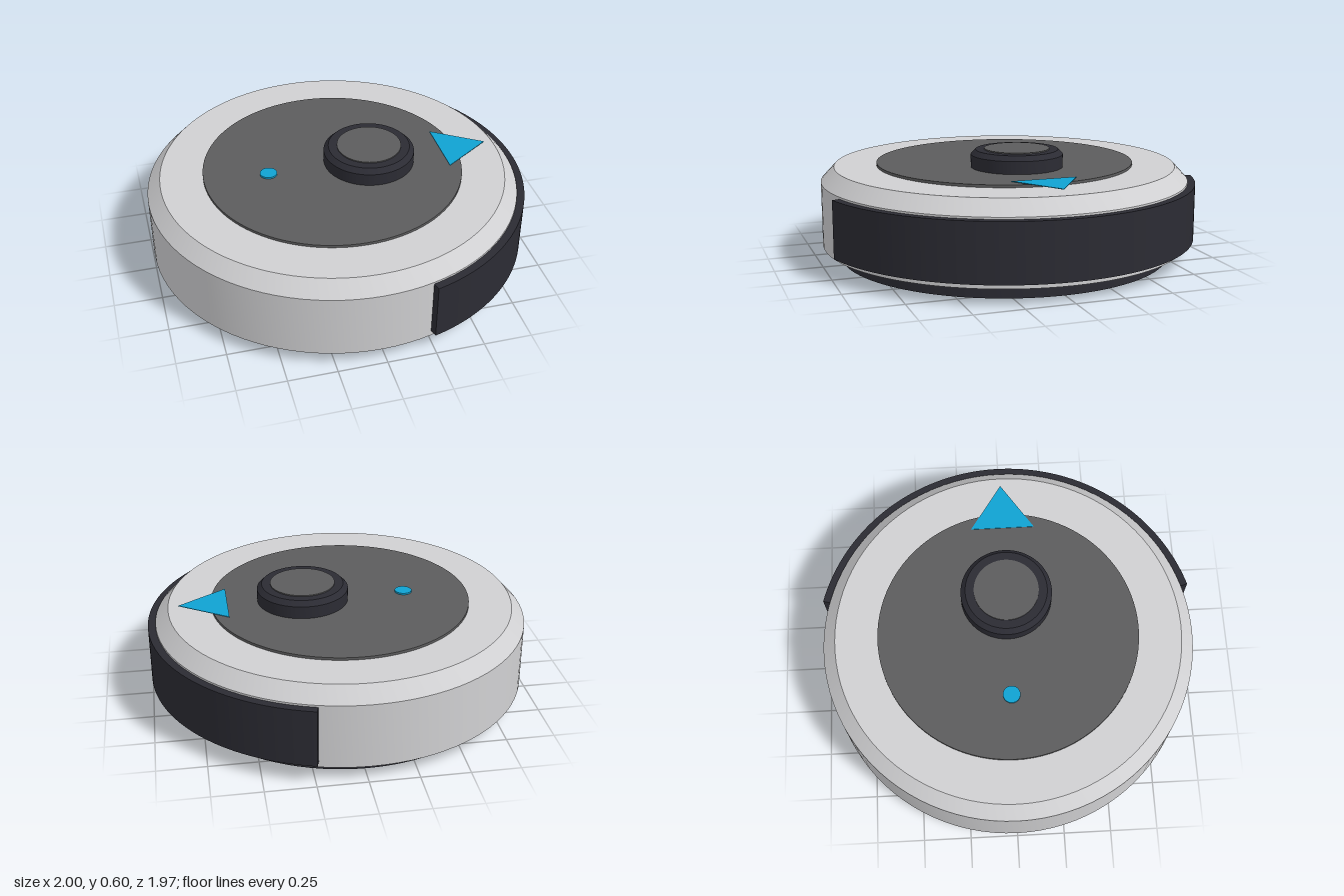
import * as THREE from 'three';
import { toCreasedNormals } from 'three/addons/utils/BufferGeometryUtils.js';

const CENTER_X = -0.02;

function material(name, color) {
  const m = new THREE.MeshStandardMaterial({ color });
  m.name = name;
  return m;
}

// Solid of revolution from [radius, y] pairs, listed bottom to top, with crisp edges
function turned(name, profile, mat, x = CENTER_X) {
  const points = profile.map(([r, y]) => new THREE.Vector2(r, y));
  const geo = toCreasedNormals(new THREE.LatheGeometry(points, 96), 0.5);
  const mesh = new THREE.Mesh(geo, mat);
  mesh.name = name;
  mesh.position.x = x;
  return mesh;
}

// Plan outline raised from y to y + height
function raised(name, shape, y, height, mat) {
  const geo = new THREE.ExtrudeGeometry(shape, { depth: height, bevelEnabled: false, curveSegments: 64 });
  geo.rotateX(-Math.PI / 2);
  const mesh = new THREE.Mesh(toCreasedNormals(geo, 0.5), mat);
  mesh.name = name;
  mesh.position.y = y;
  return mesh;
}

export function createModel() {
  const shell = material('light grey shell', 0xd0d0d2);
  const dark = material('dark trim', 0x2b2b33);
  const panel = material('grey panel', 0x5c5c5d);
  const blue = material('blue accent', 0x10a2d2);

  const group = new THREE.Group();
  group.name = 'robotVacuum';

  // Base and chamfered body
  group.add(turned('base', [[0, 0], [0.885, 0], [0.885, 0.08], [0, 0.08]], dark));
  group.add(turned('body', [[0, 0.075], [0.98, 0.075], [0.98, 0.415], [0.91, 0.49], [0, 0.49]], shell));

  // Wrap-around bumper on the +x side
  const half = THREE.MathUtils.degToRad(75);
  const arc = new THREE.Shape();
  arc.absarc(0, 0, 1.02, -half, half, false);
  arc.absarc(0, 0, 0.978, half, -half, true);
  const bumper = raised('bumper', arc, 0.105, 0.3, dark);
  bumper.position.x = CENTER_X;
  group.add(bumper);

  // Top panel
  group.add(turned('topPanel', [[0, 0.485], [0.685, 0.485], [0.685, 0.504], [0, 0.504]], panel));

  // Sensor turret and its cap
  const turretX = 0.18;
  group.add(turned('sensorTurret',
    [[0, 0.49], [0.24, 0.49], [0.24, 0.57], [0.215, 0.595], [0, 0.595]], dark, turretX));
  group.add(turned('turretCap', [[0, 0.59], [0.17, 0.59], [0.17, 0.601], [0, 0.601]], panel, turretX));

  // Power button
  group.add(turned('powerButton', [[0, 0.5], [0.045, 0.5], [0.045, 0.513], [0, 0.513]], blue, -0.365));

  // Direction arrow
  const arrow = new THREE.Shape([
    new THREE.Vector2(0.58, -0.17),
    new THREE.Vector2(0.835, 0),
    new THREE.Vector2(0.58, 0.17),
  ]);
  group.add(raised('directionArrow', arrow, 0.507, 0.003, blue));

  return group;
}
